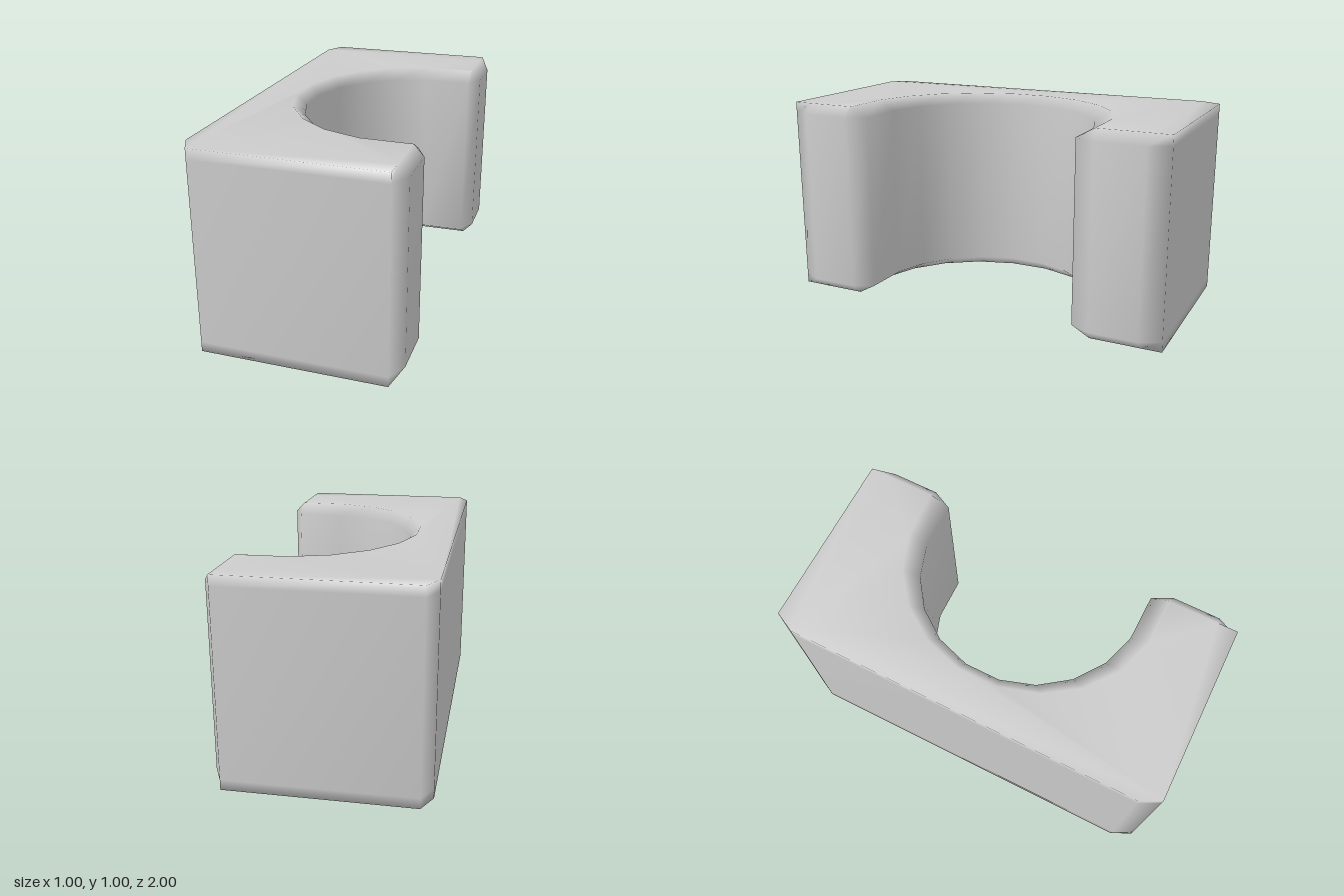
import * as THREE from 'three';

// Half outline (z > 0) seen from above, from the back edge round to the bay.
// inset = 0 at mid height, 1 at the top and bottom faces where edges are bevelled.
function outline(inset) {
  const tip = 0.5 - 0.05 * inset;
  const half = [
    [-0.5, 0.9], [-0.45, 1], [0.45, 1],
    [tip, 0.9], [tip, 0.66], [0.45, 0.56 + 0.09 * inset],
  ];
  // round bay, widened at the rims
  const rx = 0.565 + 0.05 * inset, rz = 0.563 + 0.09 * inset;
  for (let deg = 81; deg > 0; deg -= 18) {
    const a = THREE.MathUtils.degToRad(deg);
    half.push([0.3 - rx * Math.cos(a), rz * Math.sin(a)]);
  }
  return half.concat(half.map(([x, z]) => [x, -z]).reverse());
}

export function createModel() {
  const levels = [[0, 1], [0.05, 0], [0.95, 0], [1, 1]];
  const rings = levels.map(([, inset]) => outline(inset));
  const n = rings[0].length;
  const positions = [], index = [];
  rings.forEach((ring, r) => ring.forEach(([x, z]) => positions.push(x, levels[r][0], z)));

  // walls and bevels between neighbouring levels
  for (let r = 0; r < rings.length - 1; r++) {
    for (let i = 0; i < n; i++) {
      const a = r * n + i, b = r * n + (i + 1) % n;
      index.push(a, b, b + n, a, b + n, a + n);
    }
  }

  // flat bottom and top caps
  const rim = rings[0];
  const tris = THREE.ShapeUtils.triangulateShape(rim.map(([x, z]) => new THREE.Vector2(x, z)), []);
  for (const [a, b, c] of tris) {
    const [ax, az] = rim[a], [bx, bz] = rim[b], [cx, cz] = rim[c];
    const up = (bz - az) * (cx - ax) - (bx - ax) * (cz - az) > 0;
    const [p, q] = up ? [b, c] : [c, b];
    const top = 3 * n;
    index.push(top + a, top + p, top + q, a, q, p);
  }

  const geometry = new THREE.BufferGeometry();
  geometry.setAttribute('position', new THREE.Float32BufferAttribute(positions, 3));
  geometry.setIndex(index);
  geometry.computeVertexNormals();

  const block = new THREE.Mesh(geometry, new THREE.MeshStandardMaterial({ color: 0xcccccc }));
  block.name = 'notchedBlock';
  const group = new THREE.Group();
  group.name = 'blockWithRoundBay';
  group.add(block);
  return group;
}
